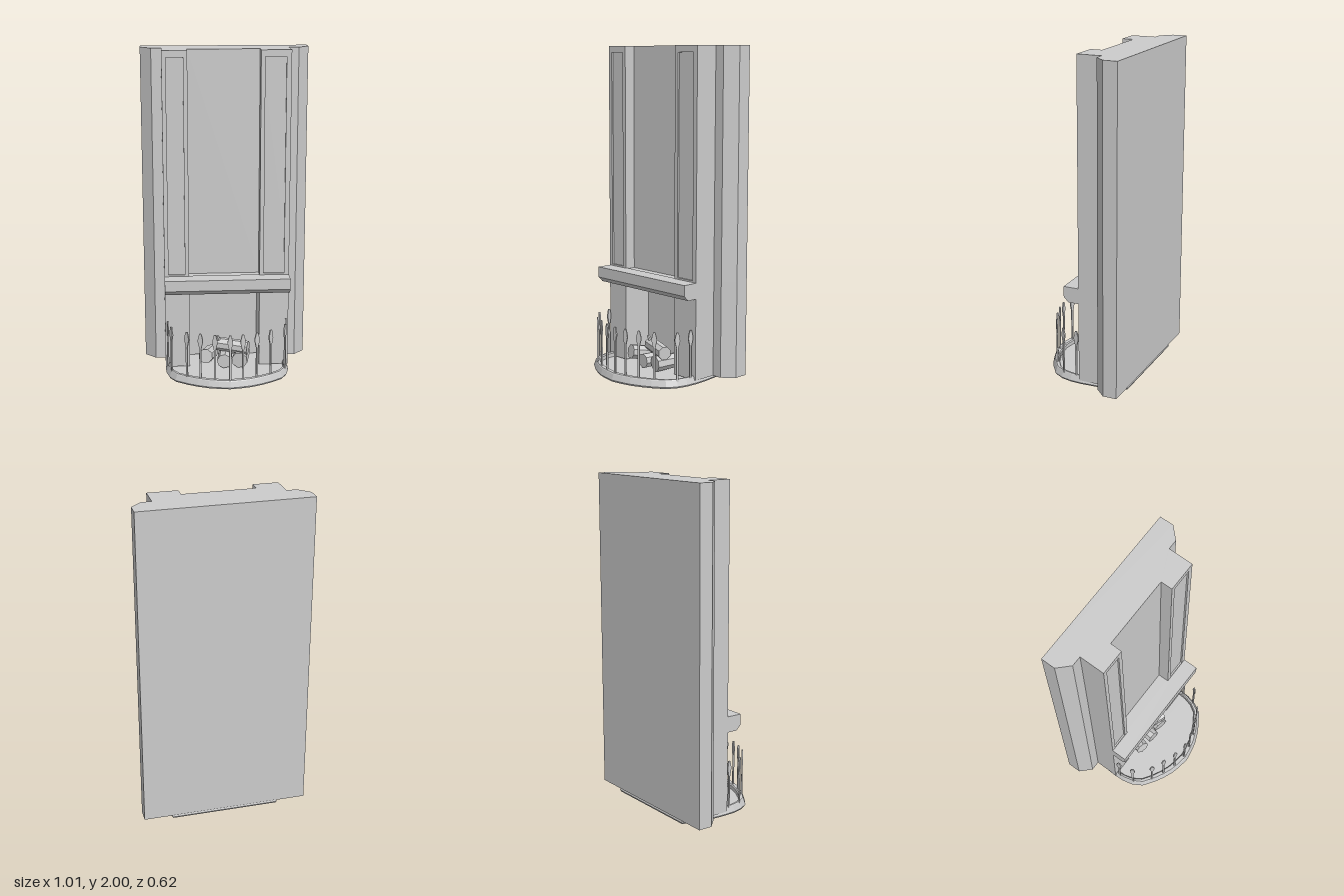
import * as THREE from 'three';

const mat = new THREE.MeshStandardMaterial({ color: 0xcccccc, flatShading: true, side: THREE.DoubleSide });

function add(parent, name, geometry) {
  const mesh = new THREE.Mesh(geometry, mat);
  mesh.name = name;
  parent.add(mesh);
  return mesh;
}

const shapeOf = pts => new THREE.Shape(pts.map(([x, y]) => new THREE.Vector2(x, y)));

// Extrude a floor plan of [x, z] points upward from y0 to y1
function planSolid(pts, y0, y1) {
  const g = new THREE.ExtrudeGeometry(shapeOf(pts.map(([x, z]) => [x, -z])), { depth: y1 - y0, bevelEnabled: false });
  return g.rotateX(-Math.PI / 2).translate(0, y0, 0);
}

// Chimney plan; the front edge between the pilasters is cut back to recessZ
function chimneyPlan(frontZ, recessZ) {
  return [
    [-0.505, -0.31], [-0.505, -0.225], [-0.44, -0.16], [-0.38, -0.16], [-0.38, frontZ],
    [-0.23, frontZ], [-0.23, recessZ], [0.2, recessZ], [0.2, frontZ],
    [0.38, frontZ], [0.38, -0.16], [0.44, -0.16], [0.505, -0.225], [0.505, -0.31],
  ];
}

// Pilaster facing with a long sunken panel
function pilasterFrame(x0, x1, p0, p1) {
  const s = shapeOf([[x0, 0.63], [x1, 0.63], [x1, 2], [x0, 2]]);
  s.holes.push(new THREE.Path([[p0, 0.645], [p0, 1.96], [p1, 1.96], [p1, 0.645]].map(p => new THREE.Vector2(...p))));
  return new THREE.ExtrudeGeometry(s, { depth: 0.01, bevelEnabled: false }).translate(0, 0, -0.02);
}

// Hearth: rings of the outline, from underside over the rim to the floor
function hearthGeometry() {
  const half = [
    [0, 0.31], [0.07, 0.299], [0.13, 0.285], [0.195, 0.258], [0.255, 0.225], [0.325, 0.175],
    [0.36, 0.115], [0.376, 0.05], [0.38, -0.02], [0.375, -0.12], [0.36, -0.22], [0.33, -0.305],
  ];
  const outline = [...half, ...half.slice(1).reverse().map(([x, z]) => [-x, z])];
  const rings = [ // scale x, scale z, y
    [0, 0, 0.02], [0.94, 0.94, 0.02], [0.985, 0.985, 0.025], [1, 1, 0.035], [0.965, 0.965, 0.07],
    [0.955, 0.95, 0.075], [0.93, 0.87, 0.075], [0.915, 0.85, 0.068], [0.915, 0.85, 0.045], [0, 0, 0.045],
  ];
  const pos = [], idx = [], n = outline.length;
  for (const [sx, sz, y] of rings) for (const [x, z] of outline) pos.push(x * sx, y, z * sz);
  for (let r = 0; r < rings.length - 1; r++) {
    for (let i = 0; i < n; i++) {
      const a = r * n + i, b = r * n + (i + 1) % n;
      idx.push(a, b, b + n, a, b + n, a + n);
    }
  }
  const g = new THREE.BufferGeometry();
  g.setAttribute('position', new THREE.Float32BufferAttribute(pos, 3));
  g.setIndex(idx);
  g.computeVertexNormals();
  return g;
}

// Flat spear-headed fence bar
function spearGeometry() {
  const side = [[0.006, 0.06], [0.006, 0.262], [0.016, 0.305], [0.015, 0.32], [0.006, 0.355]];
  const s = shapeOf([...side, ...side.slice().reverse().map(([x, y]) => [-x, y])]);
  return new THREE.ExtrudeGeometry(s, { depth: 0.008, bevelEnabled: false }).translate(0, 0, -0.004);
}

// Tapered cylinder between two points
function stick(parent, name, a, b, ra, rb, sides) {
  const A = new THREE.Vector3(...a), B = new THREE.Vector3(...b);
  const dir = B.clone().sub(A);
  const m = add(parent, name, new THREE.CylinderGeometry(rb, ra, dir.length(), sides));
  m.position.copy(A).add(B).multiplyScalar(0.5);
  m.quaternion.setFromUnitVectors(new THREE.Vector3(0, 1, 0), dir.normalize());
}

export function createModel() {
  const root = new THREE.Group();
  root.name = 'fireplace';

  // Chimney breast: firebox below, solid lintel, recessed wall above
  const chimney = new THREE.Group();
  chimney.name = 'chimneyBreast';
  root.add(chimney);
  add(chimney, 'fireboxWalls', planSolid(chimneyPlan(-0.01, -0.2), 0.05, 0.54));
  const lintelPlan = chimneyPlan(-0.01, -0.01).filter((p, i) => i < 5 || i > 8);
  add(chimney, 'lintel', planSolid(lintelPlan, 0.54, 0.63));
  add(chimney, 'upperWall', planSolid(chimneyPlan(-0.02, -0.08), 0.63, 2));
  add(chimney, 'rightPilasterFrame', pilasterFrame(-0.38, -0.23, -0.355, -0.255));
  add(chimney, 'leftPilasterFrame', pilasterFrame(0.2, 0.38, 0.225, 0.35));

  // Mantel shelf with a chamfered lower edge, extruded across x
  const profile = shapeOf([[0.02, 0.54], [-0.055, 0.54], [-0.085, 0.57], [-0.085, 0.635], [0.02, 0.635]]);
  add(root, 'mantelShelf', new THREE.ExtrudeGeometry(profile, { depth: 0.76, bevelEnabled: false })
    .rotateY(Math.PI / 2).translate(-0.38, 0, 0));

  add(root, 'hearth', hearthGeometry());

  // Fence bars turned to follow the rim
  const fence = new THREE.Group();
  fence.name = 'hearthFence';
  root.add(fence);
  const bars = [
    [-0.364, 0.015], [-0.345, 0.11], [-0.255, 0.203], [-0.175, 0.238], [-0.09, 0.268], [0, 0.283],
    [0.077, 0.27], [0.163, 0.242], [0.25, 0.2], [0.347, 0.107], [0.362, 0.015],
  ];
  const spear = spearGeometry();
  bars.forEach(([x, z], i) => {
    const p = bars[Math.max(i - 1, 0)], q = bars[Math.min(i + 1, bars.length - 1)];
    const bar = add(fence, 'fenceBar', spear);
    bar.position.set(x, 0, z);
    bar.rotation.y = Math.atan2(p[1] - q[1], q[0] - p[0]);
  });

  // Stacked logs with twig stubs
  const logs = new THREE.Group();
  logs.name = 'logPile';
  root.add(logs);
  stick(logs, 'log', [-0.135, 0.13, 0.035], [-0.09, 0.1, -0.12], 0.045, 0.045, 8);
  stick(logs, 'log', [-0.02, 0.095, 0.04], [0, 0.095, -0.13], 0.045, 0.042, 8);
  stick(logs, 'log', [0.075, 0.095, 0.03], [0.11, 0.1, -0.12], 0.05, 0.045, 8);
  stick(logs, 'log', [-0.07, 0.175, -0.07], [0.13, 0.165, 0], 0.042, 0.042, 8);
  stick(logs, 'twigStub', [-0.04, 0.19, -0.05], [-0.06, 0.235, -0.04], 0.014, 0.009, 6);
  stick(logs, 'twigStub', [-0.1, 0.1, -0.1], [-0.1, 0, -0.1], 0.014, 0.008, 6);
  stick(logs, 'twigStub', [-0.02, 0.1, -0.08], [-0.02, 0.003, -0.08], 0.014, 0.008, 6);
  return root;
}
